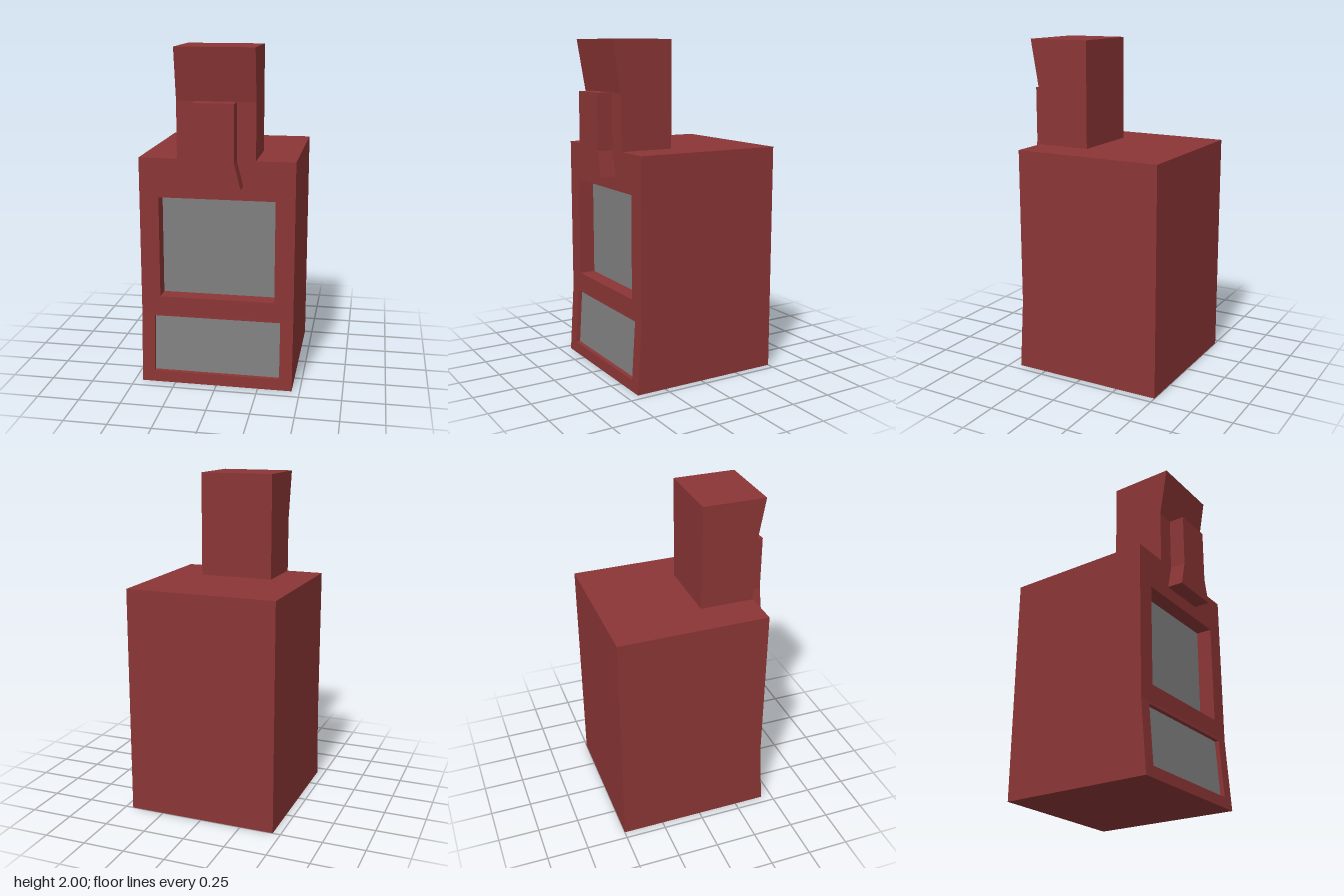
import * as THREE from 'three';

const red = new THREE.MeshStandardMaterial({ color: 0x8b3535, flatShading: true });
const grey = new THREE.MeshStandardMaterial({ color: 0x808080, flatShading: true });

const FRONT = 0.405, BACK = -0.5, HALF = 0.453, TOP = 1.37;
const BREAK = 0.43, FLARE = 0.027; // the front leans outward below BREAK

const outline = (pts) => pts.map(([x, y]) => new THREE.Vector2(x, y));
const rect = (hw, y0, y1) => outline([[-hw, y0], [hw, y0], [hw, y1], [-hw, y1]]);

// Extrudes a (z, y) side profile across the full width
function sideBlock(pts, width) {
  const geo = new THREE.ExtrudeGeometry(new THREE.Shape(outline(pts)), { depth: width, bevelEnabled: false });
  return geo.translate(0, 0, -width / 2).rotateY(-Math.PI / 2);
}

// Extrudes a front outline, with an optional opening, between two z values
function frontPlate(pts, z0, z1, hole) {
  const shape = new THREE.Shape(pts);
  if (hole) shape.holes.push(new THREE.Path(hole));
  return new THREE.ExtrudeGeometry(shape, { depth: z1 - z0, bevelEnabled: false }).translate(0, 0, z0);
}

// Leans a geometry forward toward the floor
function lean(geo) {
  const p = geo.attributes.position;
  for (let i = 0; i < p.count; i++) p.setZ(i, p.getZ(i) + FLARE * (1 - p.getY(i) / BREAK));
  geo.computeVertexNormals();
  return geo;
}

export function createModel() {
  const group = new THREE.Group();
  const add = (name, geo, material = red) => {
    const mesh = new THREE.Mesh(geo, material);
    mesh.name = name;
    group.add(mesh);
  };
  const deep = FRONT - 0.1, shallow = FRONT - 0.03;

  // Cabinet behind the two recessed openings
  add('cabinet', sideBlock([
    [BACK, 0], [shallow + FLARE, 0], [shallow, BREAK], [deep, BREAK], [deep, TOP], [BACK, TOP],
  ], HALF * 2));

  // Upper and lower front frames
  add('upperFrame', frontPlate(rect(HALF, BREAK, TOP), deep, FRONT, rect(0.34, 0.535, 1.14)));
  add('lowerFrame', lean(frontPlate(rect(HALF, 0, BREAK), shallow, FRONT, rect(0.377, 0.067, 0.414))));

  // Grey panels set into the openings
  add('upperPanel', frontPlate(rect(0.34, 0.535, 1.14), deep - 0.01, deep + 0.003), grey);
  add('lowerPanel', lean(frontPlate(rect(0.377, 0.067, 0.414), shallow - 0.01, shallow + 0.003)), grey);

  // Chimney whose upper front overhangs
  add('chimney', sideBlock([
    [0.075, TOP], [FRONT, TOP], [FRONT, 1.7], [0.457, 2], [0.075, 2],
  ], 0.454));

  // Raised plate with a flared foot
  add('flaredPlate', frontPlate(outline([
    [-0.155, 1.222], [0.155, 1.222], [0.118, TOP], [0.118, 1.7], [-0.118, 1.7], [-0.118, TOP],
  ]), FRONT, 0.5));

  return group;
}
